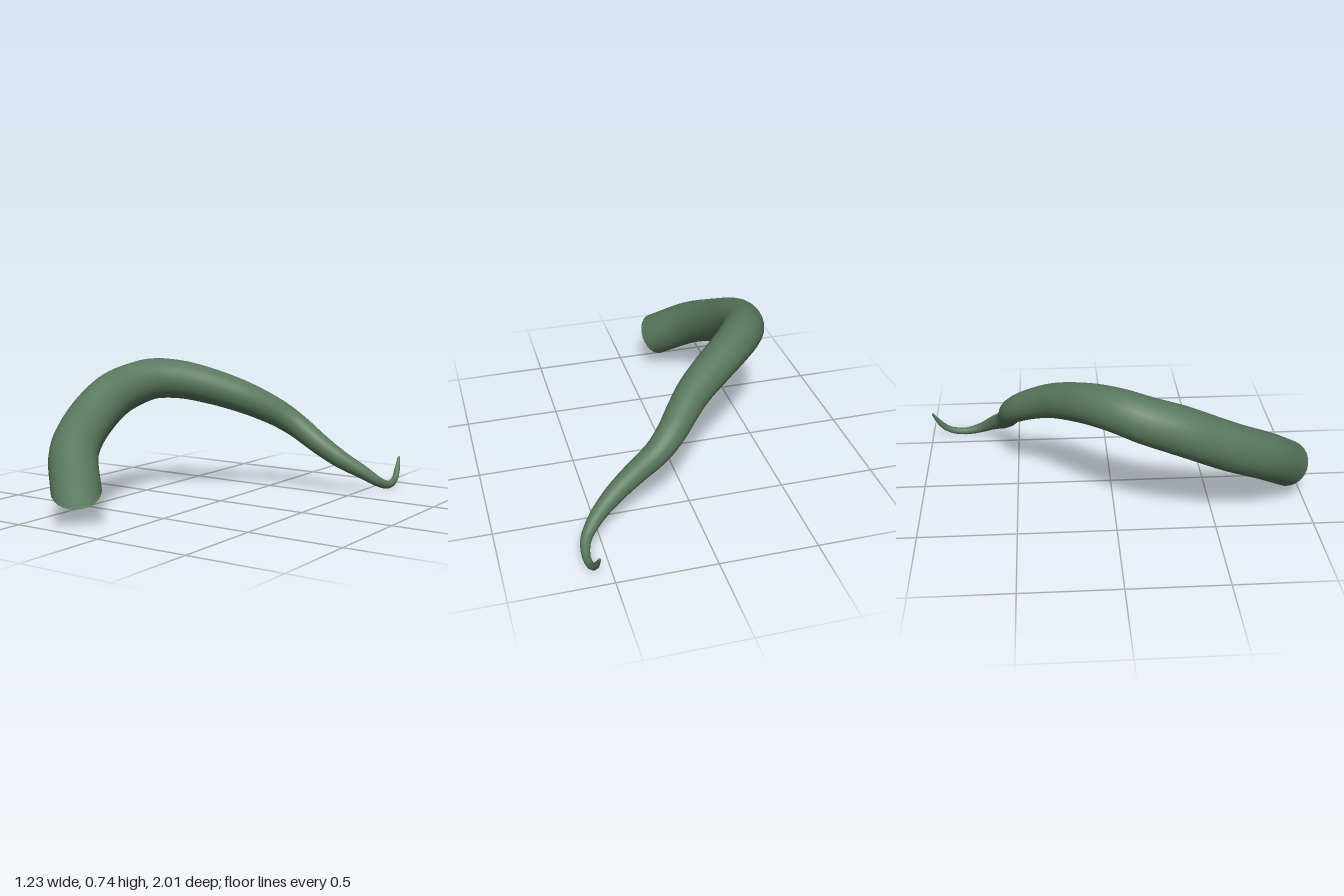
import * as THREE from 'three';

// Centreline and radius of the tentacle, from thick open base to thin tip: x, y, z, radius
const STATIONS = [
  [-0.20, 0.19, 0.915, 0.121],
  [-0.36, 0.33, 0.75, 0.122],
  [-0.45, 0.435, 0.56, 0.122],
  [-0.495, 0.56, 0.30, 0.122],
  [-0.48, 0.61, 0.14, 0.117],
  [-0.43, 0.637, 0.02, 0.111],
  [-0.33, 0.628, -0.10, 0.104],
  [-0.20, 0.587, -0.21, 0.097],
  [-0.075, 0.533, -0.31, 0.089],
  [0.015, 0.477, -0.40, 0.081],
  [0.09, 0.42, -0.475, 0.074],
  [0.17, 0.357, -0.523, 0.066],
  [0.30, 0.262, -0.548, 0.057],
  [0.41, 0.185, -0.583, 0.049],
  [0.51, 0.117, -0.645, 0.038],
  [0.58, 0.053, -0.72, 0.027],
  [0.597, 0.025, -0.81, 0.020],
  [0.59, 0.042, -0.90, 0.018],
  [0.58, 0.085, -0.95, 0.016],
  [0.57, 0.153, -0.992, 0.007],
];

const RINGS = 72;
const SIDES = 24;

// A unit tube along the curve, with each ring scaled to its own radius
function taperedTube(stations) {
  const path = new THREE.CatmullRomCurve3(stations.map(([x, y, z]) => new THREE.Vector3(x, y, z)));
  const geometry = new THREE.TubeGeometry(path, RINGS, 1, SIDES, false);
  const position = geometry.attributes.position;
  const vertex = new THREE.Vector3();
  for (let ring = 0; ring <= RINGS; ring++) {
    const u = ring / RINGS;
    const centre = path.getPointAt(u);
    const f = path.getUtoTmapping(u) * (stations.length - 1);
    const k = Math.min(Math.floor(f), stations.length - 2);
    const radius = THREE.MathUtils.lerp(stations[k][3], stations[k + 1][3], f - k);
    for (let side = 0; side <= SIDES; side++) {
      const i = ring * (SIDES + 1) + side;
      vertex.fromBufferAttribute(position, i).sub(centre).multiplyScalar(radius).add(centre);
      position.setXYZ(i, vertex.x, vertex.y, vertex.z);
    }
  }
  return geometry;
}

export function createModel() {
  const group = new THREE.Group();
  group.name = 'tentacle';

  const skin = new THREE.MeshStandardMaterial({ color: 0x58785c, side: THREE.DoubleSide });

  // Hollow body, open at the base
  const body = new THREE.Mesh(taperedTube(STATIONS), skin);
  body.name = 'tentacleBody';
  group.add(body);

  // Small rounded end on the tip
  const [x, y, z, r] = STATIONS[STATIONS.length - 1];
  const tip = new THREE.Mesh(new THREE.SphereGeometry(r, 12, 8), skin);
  tip.name = 'tentacleTip';
  tip.position.set(x, y, z);
  group.add(tip);

  return group;
}
